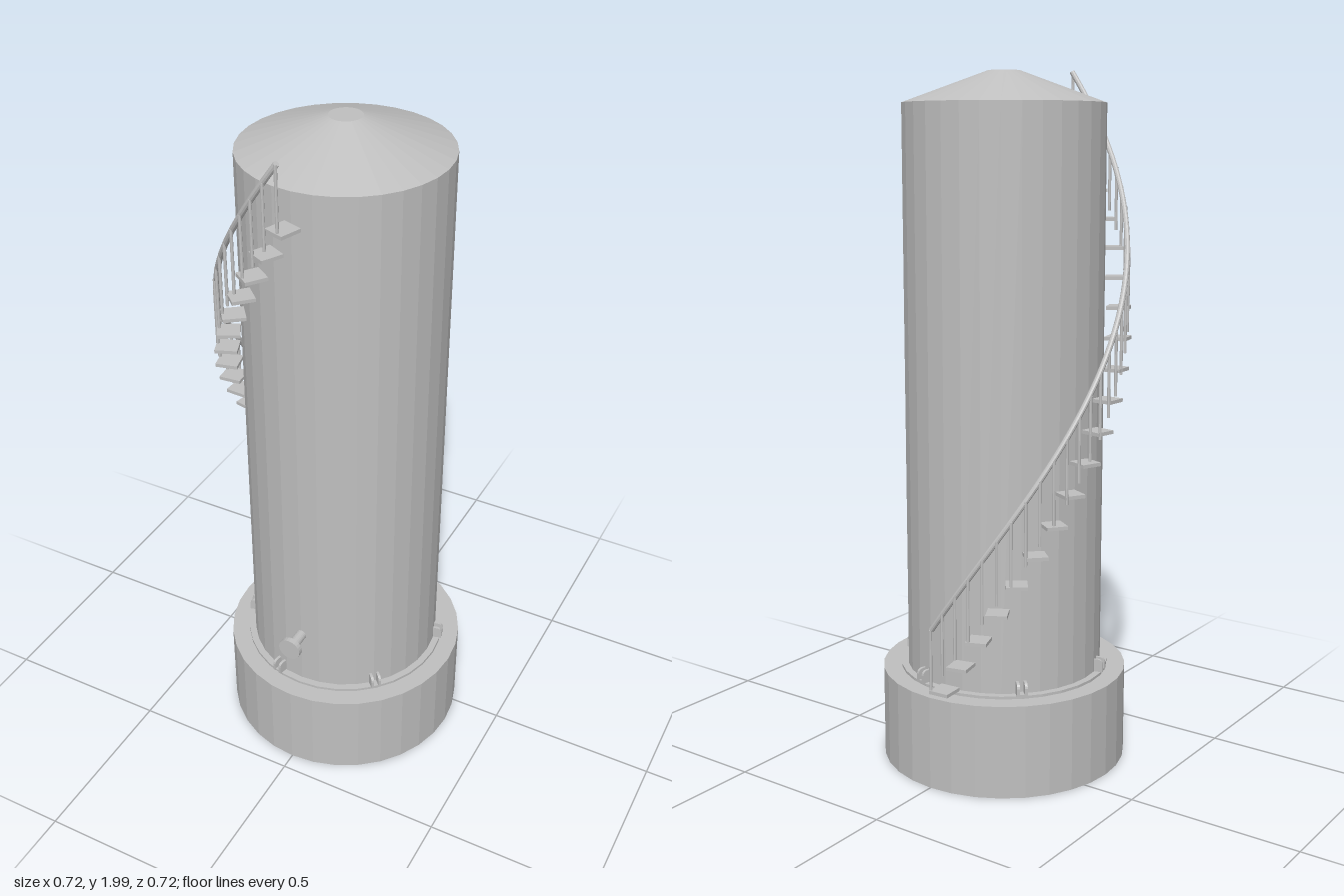
import * as THREE from 'three';

export function createModel() {
  const model = new THREE.Group();
  const steel = new THREE.MeshStandardMaterial({ color: 0xbfbfbf, flatShading: true });
  steel.name = 'light grey steel';

  const add = (parent, name, geometry, x = 0, y = 0, z = 0) => {
    const mesh = new THREE.Mesh(geometry, steel);
    mesh.name = name;
    mesh.position.set(x, y, z);
    parent.add(mesh);
    return mesh;
  };

  // Everything is arranged around the vertical axis of the silo.
  const silo = new THREE.Group();
  silo.name = 'silo';
  silo.position.z = 0.0915;
  model.add(silo);

  // Group turned so that its local -z points outward at the given angle.
  const turned = (name, angle) => {
    const g = new THREE.Group();
    g.name = name;
    g.rotation.y = angle;
    silo.add(g);
    return g;
  };

  // Foundation, foot ring, shell and conical roof
  add(silo, 'foundation', new THREE.CylinderGeometry(0.3585, 0.3585, 0.27, 32), 0, 0.135, 0);
  add(silo, 'footRing', new THREE.CylinderGeometry(0.305, 0.305, 0.008, 32), 0, 0.274, 0);
  add(silo, 'shell', new THREE.CylinderGeometry(0.285, 0.285, 1.62, 32), 0, 1.085, 0);
  add(silo, 'roof', new THREE.CylinderGeometry(0.045, 0.285, 0.087, 32), 0, 1.9385, 0);

  // Anchor brackets: a pair of rounded gussets on a small plate
  const gussetShape = new THREE.Shape();
  gussetShape.moveTo(0, 0);
  gussetShape.lineTo(0.03, 0);
  gussetShape.lineTo(0.03, 0.024);
  gussetShape.quadraticCurveTo(0.028, 0.038, 0.014, 0.038);
  gussetShape.lineTo(0, 0.038);
  gussetShape.closePath();
  const gusset = new THREE.ExtrudeGeometry(gussetShape, { depth: 0.008, bevelEnabled: false, curveSegments: 4 });
  gusset.rotateY(Math.PI / 2).translate(-0.004, 0, 0);
  for (let i = 0; i < 6; i++) {
    const bracket = turned('anchorBracket', THREE.MathUtils.degToRad(-15 + 60 * i));
    for (const side of [-1, 1]) add(bracket, 'gusset', gusset, side * 0.011, 0.277, -0.28);
    add(bracket, 'anchorPlate', new THREE.BoxGeometry(0.03, 0.006, 0.026), 0, 0.28, -0.295);
  }

  // Outlet pipe with a blind flange at the front
  const pipe = new THREE.CylinderGeometry(0.016, 0.016, 0.08, 20).rotateX(Math.PI / 2);
  const flange = new THREE.CylinderGeometry(0.034, 0.034, 0.016, 24).rotateX(Math.PI / 2);
  add(silo, 'outletPipe', pipe, 0, 0.455, 0.312);
  add(silo, 'outletFlange', flange, 0, 0.455, 0.35);

  // Spiral stair: half a turn from the back, past the right side, to the front
  const startY = 0.285, rise = 1.525, railHeight = 0.18;
  const onSpiral = (t, r, lift) =>
    new THREE.Vector3(-r * Math.sin(t * Math.PI), startY + rise * t + lift, -r * Math.cos(t * Math.PI));

  const treads = 20;
  const treadGeometry = new THREE.BoxGeometry(0.06, 0.01, 0.063);
  for (let i = 0; i < treads; i++) {
    const angle = 0.08 + (Math.PI - 0.08) * i / (treads - 1);
    const tread = add(silo, 'tread', treadGeometry,
      -0.325 * Math.sin(angle), startY + rise * i / (treads - 1), -0.325 * Math.cos(angle));
    tread.rotation.y = angle * 0.895;
  }

  // Railing posts
  const posts = 28;
  const postGeometry = new THREE.CylinderGeometry(0.0045, 0.0045, railHeight, 8);
  for (let i = 0; i <= posts; i++) {
    const p = onSpiral(i / posts, 0.351, railHeight / 2);
    add(silo, 'railPost', postGeometry, p.x, p.y, p.z);
  }

  // Handrail swept along the spiral, with end caps
  const railPoints = [];
  for (let i = 0; i <= 40; i++) railPoints.push(onSpiral(i / 40, 0.346, railHeight));
  const railCurve = new THREE.CatmullRomCurve3(railPoints);
  add(silo, 'handrail', new THREE.TubeGeometry(railCurve, 80, 0.008, 10));
  for (const t of [0, 1]) {
    const p = railCurve.getPoint(t);
    const direction = railCurve.getTangent(t).multiplyScalar(t ? 1 : -1);
    const cap = add(silo, 'handrailCap', new THREE.CircleGeometry(0.008, 10), p.x, p.y, p.z);
    cap.quaternion.setFromUnitVectors(new THREE.Vector3(0, 0, 1), direction);
  }

  return model;
}
